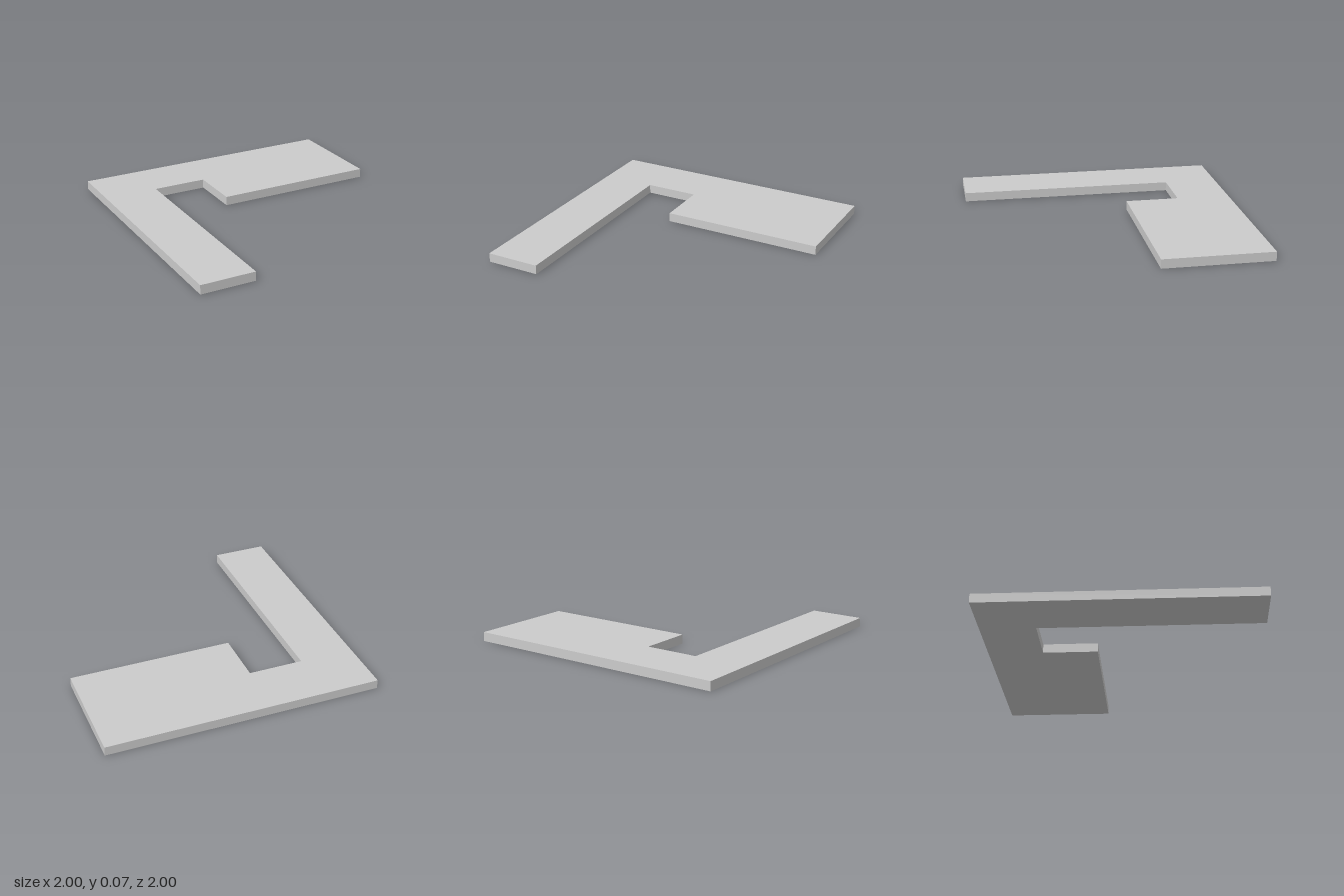
import * as THREE from 'three';

const THICKNESS = 0.067;

// Plan outline as [x, z] corners
const OUTLINE = [
  [-1, 1], [-0.6, 1], [-0.6, -0.6], [-0.2, -0.6],
  [-0.2, -0.2], [1, -0.2], [1, -1], [-1, -1],
];

export function createModel() {
  const group = new THREE.Group();
  group.name = 'hookedSlab';

  // Flat slab: long arm, back strip and wide wing in one extruded outline
  const shape = new THREE.Shape(OUTLINE.map(([x, z]) => new THREE.Vector2(x, -z)));
  const geometry = new THREE.ExtrudeGeometry(shape, { depth: THICKNESS, bevelEnabled: false });
  geometry.rotateX(-Math.PI / 2); // lay the outline flat, thickness upwards

  const slab = new THREE.Mesh(
    geometry,
    new THREE.MeshStandardMaterial({ color: 0xcccccc, flatShading: true }),
  );
  slab.name = 'slab';
  group.add(slab);
  return group;
}
